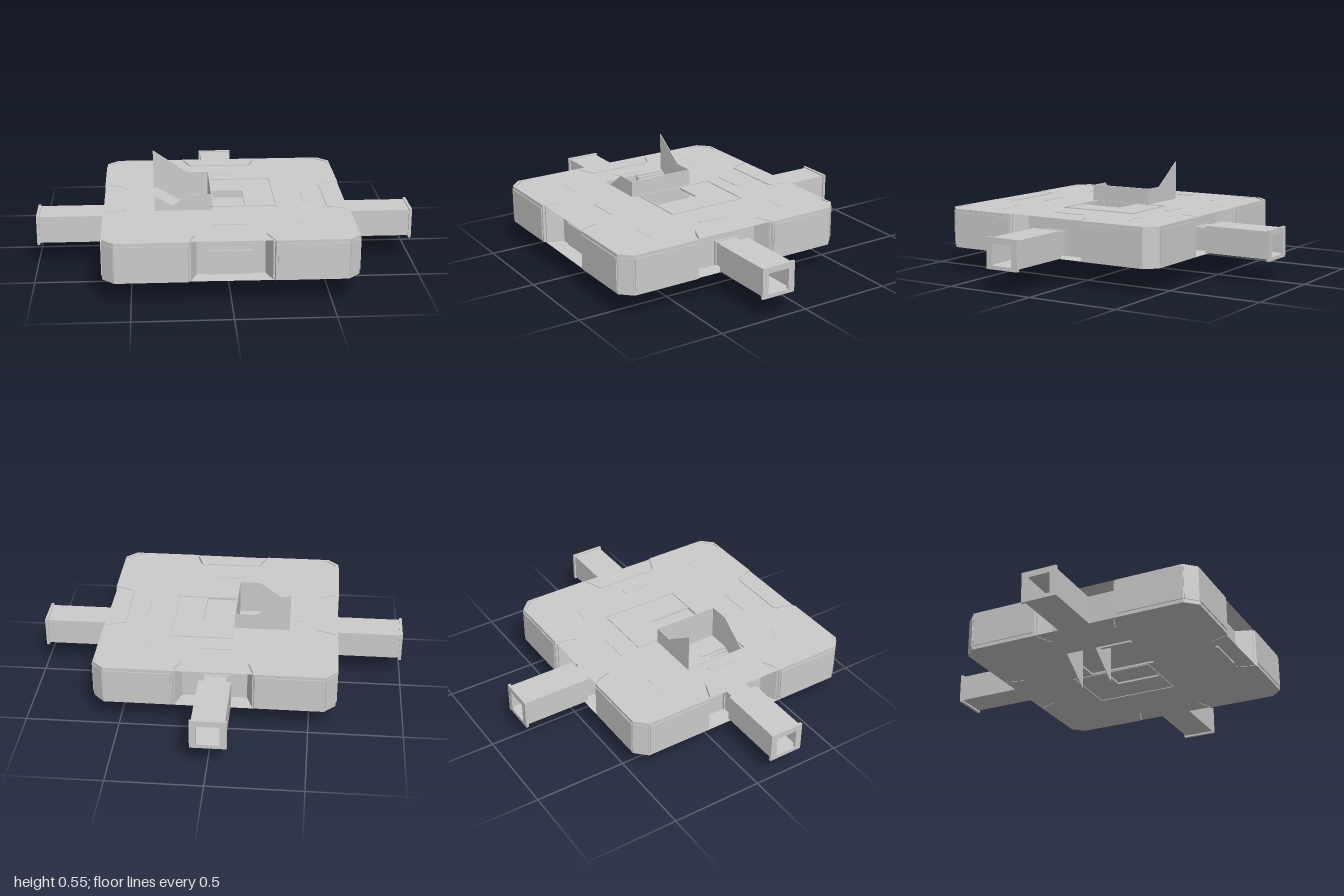
import * as THREE from 'three';

const mat = new THREE.MeshStandardMaterial({ color: 0xcccccc, flatShading: true, side: THREE.DoubleSide });
const CZ = 0.17; // middle of the main block in z

function add(parent, geo, name) {
  const m = new THREE.Mesh(geo, mat);
  m.name = name;
  parent.add(m);
  return m;
}

// Box given by its minimum and maximum on each axis
function box(parent, name, x0, x1, y0, y1, z0, z1) {
  const m = add(parent, new THREE.BoxGeometry(x1 - x0, y1 - y0, z1 - z0), name);
  m.position.set((x0 + x1) / 2, (y0 + y1) / 2, (z0 + z1) / 2);
  return m;
}

const pts = (list) => list.map(([a, b]) => new THREE.Vector2(a, b));
const rect = (x0, x1, z0, z1) => pts([[x0, z0], [x1, z0], [x1, z1], [x0, z1]]);

function holed(outer, holes = []) {
  const s = new THREE.Shape(outer);
  holes.forEach((h) => s.holes.push(new THREE.Path(h)));
  return s;
}

// Plan shape (x, z) made solid between two heights
function slab(parent, name, outer, holes, y0, y1) {
  const g = new THREE.ExtrudeGeometry(holed(outer, holes), { depth: y1 - y0, bevelEnabled: false });
  g.rotateX(Math.PI / 2).translate(0, y1, 0);
  return add(parent, g, name);
}

// Cross-shaped plan with chamfered lobes, mirrored from one quarter
function outline(inset) {
  const q = [[0.18, 0.555], [0.215, 0.655], [0.58, 0.655], [0.64, 0.595], [0.64, 0.228], [0.54, 0.187]];
  const half = [...q, ...q.map(([x, z]) => [x, -z]).reverse()];
  const all = [...half, ...half.map(([x, z]) => [-x, z]).reverse()];
  return pts(all.map(([x, z]) => [x - Math.sign(x) * inset, z - Math.sign(z) * inset + CZ]));
}

// Covered walkway running outward along +z, open at its far end
function walkway(name) {
  const g = new THREE.Group();
  g.name = name;
  const ring = (part, w, y0, y1, iw, iy0, iy1, z0, z1) => {
    const shape = holed(rect(-w, w, y0, y1), [rect(-iw, iw, iy0, iy1)]);
    const geo = new THREE.ExtrudeGeometry(shape, { depth: z1 - z0, bevelEnabled: false });
    add(g, geo.translate(0, 0, z0), part);
  };
  box(g, 'doorSurround', -0.068, 0.068, 0.13, 0.26, -0.005, 0.012);
  box(g, 'connector', -0.06, 0.06, 0.13, 0.255, 0, 0.085);
  ring('tunnel', 0.086, 0.125, 0.27, 0.076, 0.135, 0.26, 0.08, 0.45);
  ring('innerFrame', 0.08, 0.13, 0.265, 0.058, 0.135, 0.245, 0.08, 0.09);
  ring('endFrame', 0.095, 0.115, 0.277, 0.06, 0.135, 0.245, 0.445, 0.46);
  return g;
}

// Thin vertical sheet from (x, y) points at a given z
function sheet(parent, name, list, z) {
  const g = new THREE.ExtrudeGeometry(new THREE.Shape(pts(list)), { depth: 0.004, bevelEnabled: false });
  add(parent, g.translate(0, 0, z - 0.002), name);
}

export function createModel() {
  const model = new THREE.Group();
  const stairHole = rect(-0.375, -0.075, -0.012, 0.357);
  const lightHole = rect(-0.065, 0.1, 0.06, 0.31);

  // Main block: floor, roof and the wall ring with a low parapet
  slab(model, 'floor', outline(0.004), [stairHole, lightHole], 0.125, 0.135);
  slab(model, 'roof', outline(0.004), [stairHole, lightHole], 0.32, 0.33);
  slab(model, 'outerWall', outline(0), [outline(0.012)], 0.125, 0.335);

  // Raised panels on the straight and chamfered faces of each lobe
  for (const sx of [-1, 1]) {
    for (const sz of [-1, 1]) {
      const lobe = new THREE.Group();
      lobe.name = 'lobePanels';
      const p = box(lobe, 'endPanel', -0.175, 0.175, 0.145, 0.318, -0.004, 0.004);
      p.position.set(sx * 0.4, 0.231, CZ + sz * 0.656);
      const s = box(lobe, 'sidePanel', -0.004, 0.004, 0.145, 0.318, -0.178, 0.178);
      s.position.set(sx * 0.641, 0.231, CZ + sz * 0.412);
      const c = box(lobe, 'chamferPanel', -0.038, 0.038, 0.145, 0.318, -0.002, 0.002);
      c.position.set(sx * 0.611, 0.231, CZ + sz * 0.626);
      c.rotation.y = sx * sz * Math.PI / 4;
      // Row of small roof vents
      for (let i = -2; i <= 2; i++) {
        const x = sx * 0.4 + i * 0.032, z = CZ + sz * 0.4;
        box(lobe, 'roofVent', x - 0.007, x + 0.007, 0.328, 0.332, z - 0.007, z + 0.007);
      }
      model.add(lobe);
    }
  }

  // Flush roof strips, one on each side
  for (const s of [-1, 1]) {
    box(model, 'roofStrip', -0.085, 0.085, 0.328, 0.333, CZ + s * 0.4 - 0.015, CZ + s * 0.4 + 0.015);
    box(model, 'roofStrip', s * 0.43 - 0.015, s * 0.43 + 0.015, 0.328, 0.333, CZ - 0.085, CZ + 0.085);
  }

  // Low rims around the light well, above and below
  const rimOuter = rect(-0.07, 0.27, -0.13, 0.318);
  const rimInner = rect(-0.064, 0.262, -0.122, 0.31);
  slab(model, 'lightWellRim', rimOuter, [rimInner], 0.329, 0.335);
  slab(model, 'lightWellLowerRim', rimOuter, [rimInner], 0.121, 0.126);

  // Entrance plate on the front wall
  box(model, 'entrancePlate', -0.115, 0.11, 0.115, 0.25, CZ + 0.55, CZ + 0.563);

  // Three walkways
  const back = walkway('backWalkway');
  back.rotation.y = Math.PI;
  back.position.set(-0.006, 0, CZ - 0.553);
  model.add(back);
  for (const s of [-1, 1]) {
    const w = walkway(s > 0 ? 'leftWalkway' : 'rightWalkway');
    w.rotation.y = s * Math.PI / 2;
    w.position.set(s * 0.54, 0, CZ);
    model.add(w);
  }

  // Two-flight staircase turning at a landing
  const stair = new THREE.Group();
  stair.name = 'staircase';
  const steps = 11, run = 0.18 / steps, rise = 0.105 / steps;
  for (let i = 0; i < steps; i++) {
    const a = -0.375 + i * run;
    const yLow = 0.125 + (i + 1) * rise;
    const yHigh = 0.335 - i * rise;
    box(stair, 'lowerStep', a, a + run, yLow - 2 * rise, yLow, 0.187, 0.355);
    box(stair, 'upperStep', a, a + run, yHigh - 2 * rise, yHigh, -0.01, 0.155);
  }
  box(stair, 'landing', -0.195, -0.078, 0.22, 0.23, -0.01, 0.355);
  box(stair, 'landingParapet', -0.082, -0.078, 0.22, 0.417, -0.012, 0.357);
  sheet(stair, 'backParapet', [[-0.375, 0.125], [-0.195, 0], [-0.195, 0.22], [-0.08, 0.22],
    [-0.08, 0.417], [-0.195, 0.417], [-0.38, 0.545]], -0.01);
  sheet(stair, 'innerStringer', [[-0.375, 0.125], [-0.195, 0], [-0.195, 0.23], [-0.375, 0.335]], 0.157);
  sheet(stair, 'frontParapet', [[-0.375, 0.125], [-0.195, 0.2], [-0.08, 0.22],
    [-0.08, 0.417], [-0.195, 0.417], [-0.375, 0.288]], 0.355);
  model.add(stair);

  return model;
}
